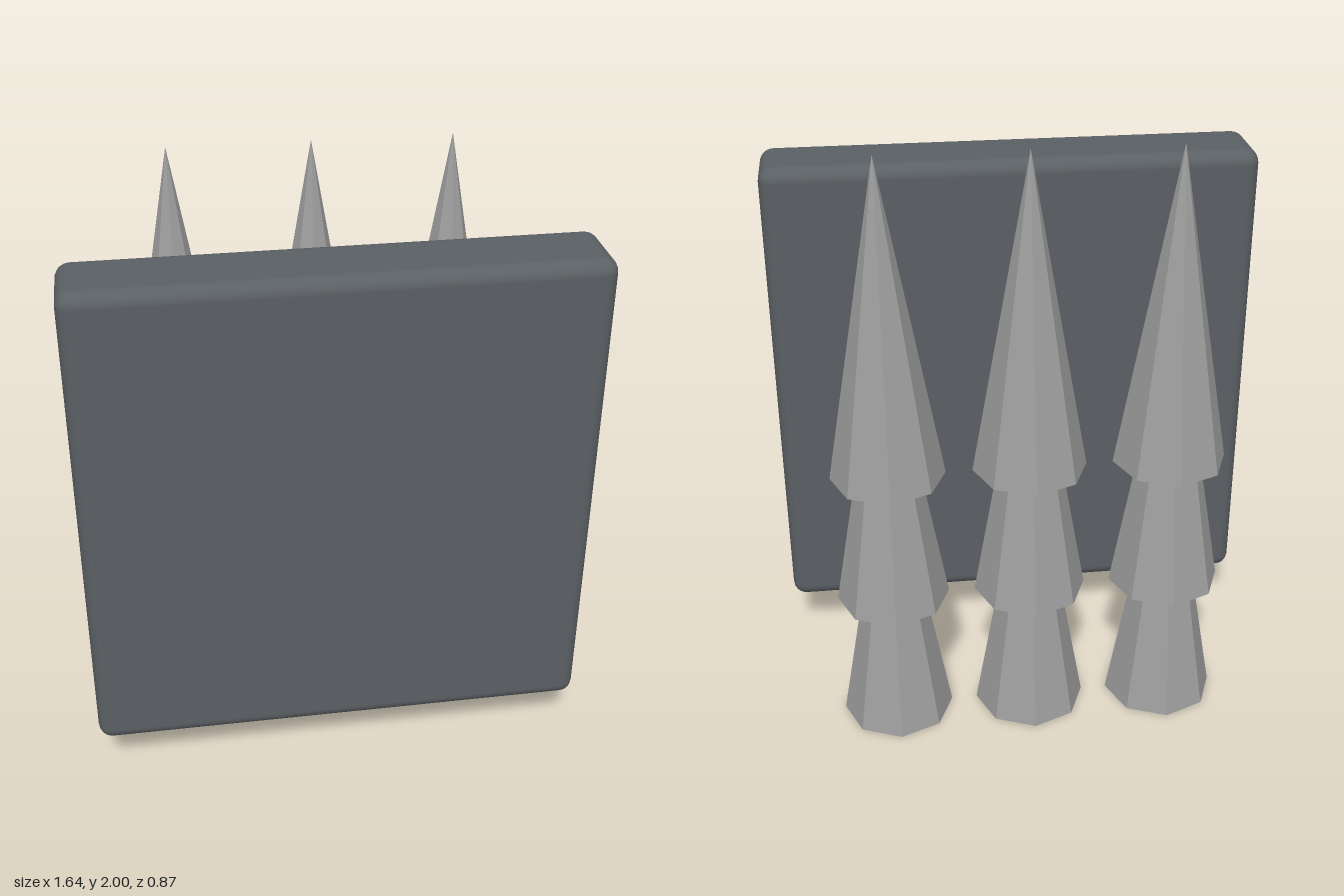
import * as THREE from 'three';
import { RoundedBoxGeometry } from 'three/addons/geometries/RoundedBoxGeometry.js';

export function createModel() {
  const model = new THREE.Group();
  const slate = new THREE.MeshStandardMaterial({ name: 'dark slate', color: 0x5b6064 });
  const grey = new THREE.MeshStandardMaterial({ name: 'light grey', color: 0x9e9e9e, flatShading: true });

  // Upright square slab with softened edges
  const slab = new THREE.Mesh(new RoundedBoxGeometry(1.64, 1.64, 0.274, 3, 0.047), slate);
  slab.name = 'slab';
  slab.position.set(0, 1.005, 0.299);
  model.add(slab);

  // Three spires behind it, each a stack of overlapping eight-sided cones
  const height = 1.07;
  const cone = new THREE.ConeGeometry(0.187, height, 8);
  cone.translate(0, height / 2, 0);
  const names = ['rightSpire', 'middleSpire', 'leftSpire'];
  names.forEach((name, i) => {
    const spire = new THREE.Group();
    spire.name = name;
    spire.position.set((i - 1) * 0.461, 0, -0.249);
    for (let tier = 0; tier < 3; tier++) {
      const mesh = new THREE.Mesh(cone, grey);
      mesh.name = `coneTier${tier + 1}`;
      mesh.position.y = tier * 0.465;
      spire.add(mesh);
    }
    model.add(spire);
  });

  return model;
}
